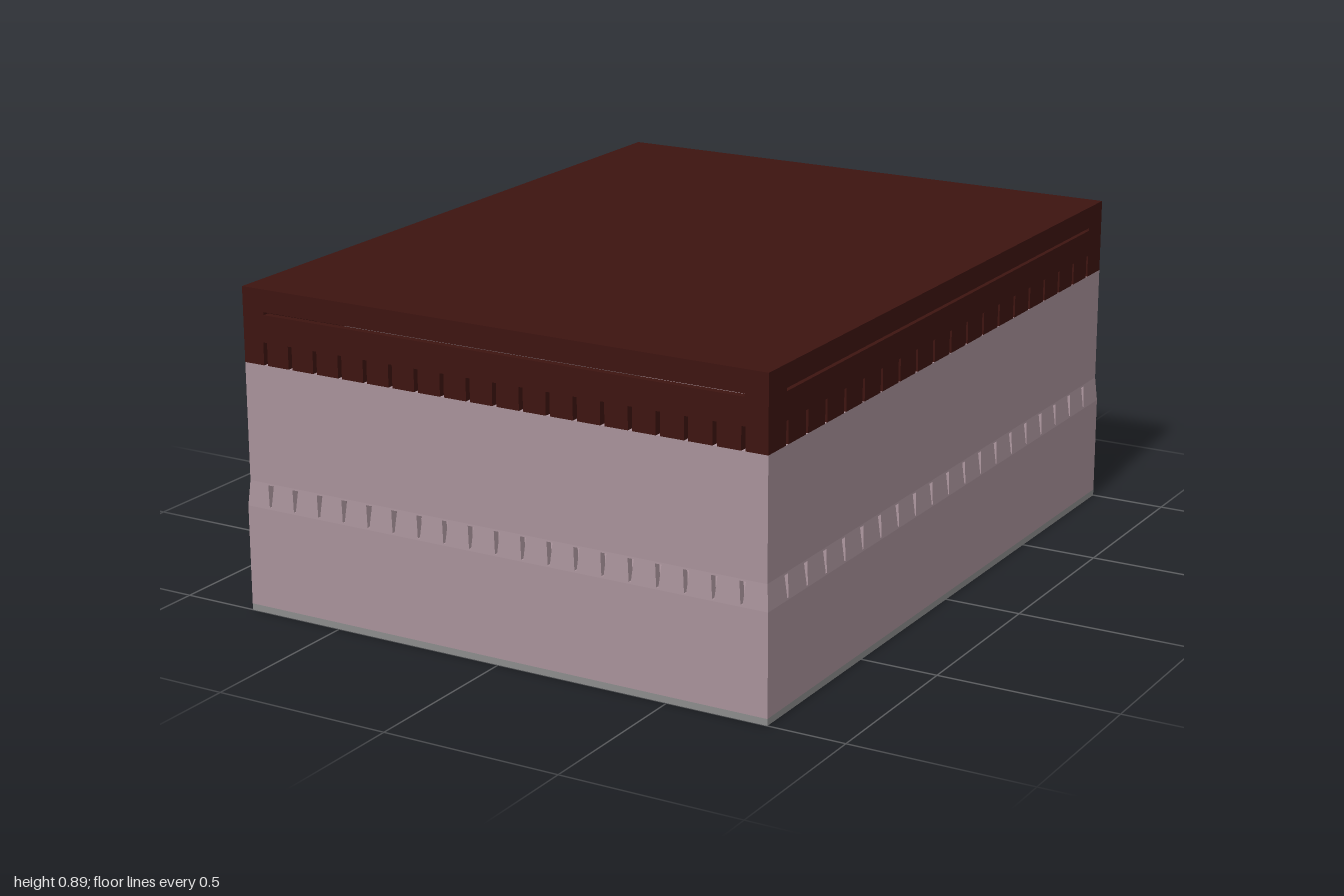
import * as THREE from 'three';

const HX = 0.785, HZ = 1, INSET = 0.006, T = 0.02;
const PLATE = 0.018, BAND0 = 0.295, BAND1 = 0.365, SEAM = 0.69, TOP = 0.895;

const mat = (color) => new THREE.MeshStandardMaterial({ color, flatShading: true });

function poly(points, Type = THREE.Shape) {
  return new Type(points.map(([x, y]) => new THREE.Vector2(x, y)));
}

const rect = (x0, y0, x1, y1) => [[x0, y0], [x1, y0], [x1, y1], [x0, y1]];

// Wall panel whose outer face leans from out0 (at y0) to out1 (at y1)
function panel(outline, holes, y0, y1, out0, out1) {
  const shape = poly(outline);
  shape.holes = holes.map((h) => poly(h, THREE.Path));
  const geo = new THREE.ExtrudeGeometry(shape, { depth: T, bevelEnabled: false });
  const p = geo.attributes.position;
  for (let i = 0; i < p.count; i++) {
    const k = (p.getY(i) - y0) / (y1 - y0);
    p.setZ(i, p.getZ(i) - T + out0 + (out1 - out0) * k);
  }
  geo.computeVertexNormals();
  return geo;
}

export function createModel() {
  const group = new THREE.Group();
  const shellMat = mat(0xa8929a), lidMat = mat(0x3d1410), plateMat = mat(0x8c8c8c);

  function add(name, geo, material, x = 0, y = 0, z = 0, ry = 0) {
    const mesh = new THREE.Mesh(geo, material);
    mesh.name = name;
    mesh.position.set(x, y, z);
    mesh.rotation.y = ry;
    group.add(mesh);
    return mesh;
  }

  // Base plate with a U-shaped recess and two square ones
  const base = poly(rect(-HX, -HZ, HX, HZ));
  base.holes.push(poly([
    [-0.71, 0.9], [-0.71, 0.6], [-0.475, 0.6], [-0.475, 0.705],
    [0.475, 0.705], [0.475, 0.6], [0.71, 0.6], [0.71, 0.9],
  ], THREE.Path));
  for (const x of [-0.275, 0.275]) {
    base.holes.push(poly(rect(x - 0.042, 0.42, x + 0.042, 0.504), THREE.Path));
  }
  const baseGeo = new THREE.ExtrudeGeometry(base, { depth: PLATE, bevelEnabled: false });
  baseGeo.rotateX(Math.PI / 2);
  add('basePlate', baseGeo, plateMat, 0, PLATE, 0);

  // Shell floor, closing the recesses
  add('shellFloor', new THREE.BoxGeometry(2 * HX - 0.02, 0.015, 2 * HZ - 0.02), shellMat, 0, PLATE + 0.0075, 0);

  const sides = [
    { name: 'front', ry: 0, half: HX, out: HZ, step: 0.079, slit: 0.713 },
    { name: 'back', ry: Math.PI, half: HX, out: HZ, step: 0.079, slit: 0.713 },
    { name: 'left', ry: Math.PI / 2, half: HZ - T, out: HX, step: 0.1, slit: 0.905 },
    { name: 'right', ry: -Math.PI / 2, half: HZ - T, out: HX, step: 0.1, slit: 0.905 },
  ];

  for (const { name, ry, half, out, step, slit } of sides) {
    const w1 = half - INSET, out1 = out - INSET;
    const place = (part, geo, m) => add(name + part, geo, m, 0, 0, 0, ry);

    // Lower wall
    place('LowerWall', panel(rect(-half, PLATE, half, BAND0), [], PLATE, BAND0, out, out), shellMat);

    // Leaning band with a row of tapered vents
    const vents = [];
    for (let i = -9; i <= 9; i++) {
      const x = i * step;
      let lean = 0, top = 0.36;
      if (name === 'back' && Math.abs(i) === 1) lean = 0.011 * i;
      if (name === 'back' && i === 0) top = 0.335;
      vents.push([
        [x + lean - 0.003, 0.3], [x + lean + 0.003, 0.3],
        [x - lean + 0.009, top], [x - lean - 0.009, top],
      ]);
    }
    const band = [[-half, BAND0], [half, BAND0], [w1, BAND1], [-w1, BAND1]];
    place('VentBand', panel(band, vents, BAND0, BAND1, out, out1), shellMat);

    // Upper wall
    place('UpperWall', panel(rect(-w1, BAND1, w1, SEAM), [], BAND1, SEAM, out1, out1), shellMat);

    // Lid wall: notched lower edge and one long slit
    const outline = [[-w1, SEAM]];
    for (let i = -9; i <= 9; i++) {
      const x = i * step, h = 0.006;
      outline.push([x - h, SEAM], [x - h, 0.752], [x + h, 0.752], [x + h, SEAM]);
    }
    outline.push([w1, SEAM], [w1, TOP - T], [-w1, TOP - T]);
    place('LidWall', panel(outline, [rect(-slit, 0.826, slit, 0.834)], SEAM, TOP, out1, out1), lidMat);
  }

  // Lid top
  add('lidTop', new THREE.BoxGeometry(2 * (HX - INSET), T, 2 * (HZ - INSET)), lidMat, 0, TOP - T / 2, 0);

  // Baffles behind the front and back lid notches
  for (const s of [-1, 1]) {
    add('lidBaffle', new THREE.BoxGeometry(2 * (HX - 0.03), 0.075, 0.012), lidMat, 0, 0.725, s * (HZ - INSET - T - 0.006));
  }

  // Inner post near the back wall
  add('innerPost', new THREE.BoxGeometry(0.05, 0.34, 0.05), shellMat, 0.355, 0.2, -0.9);

  return group;
}
